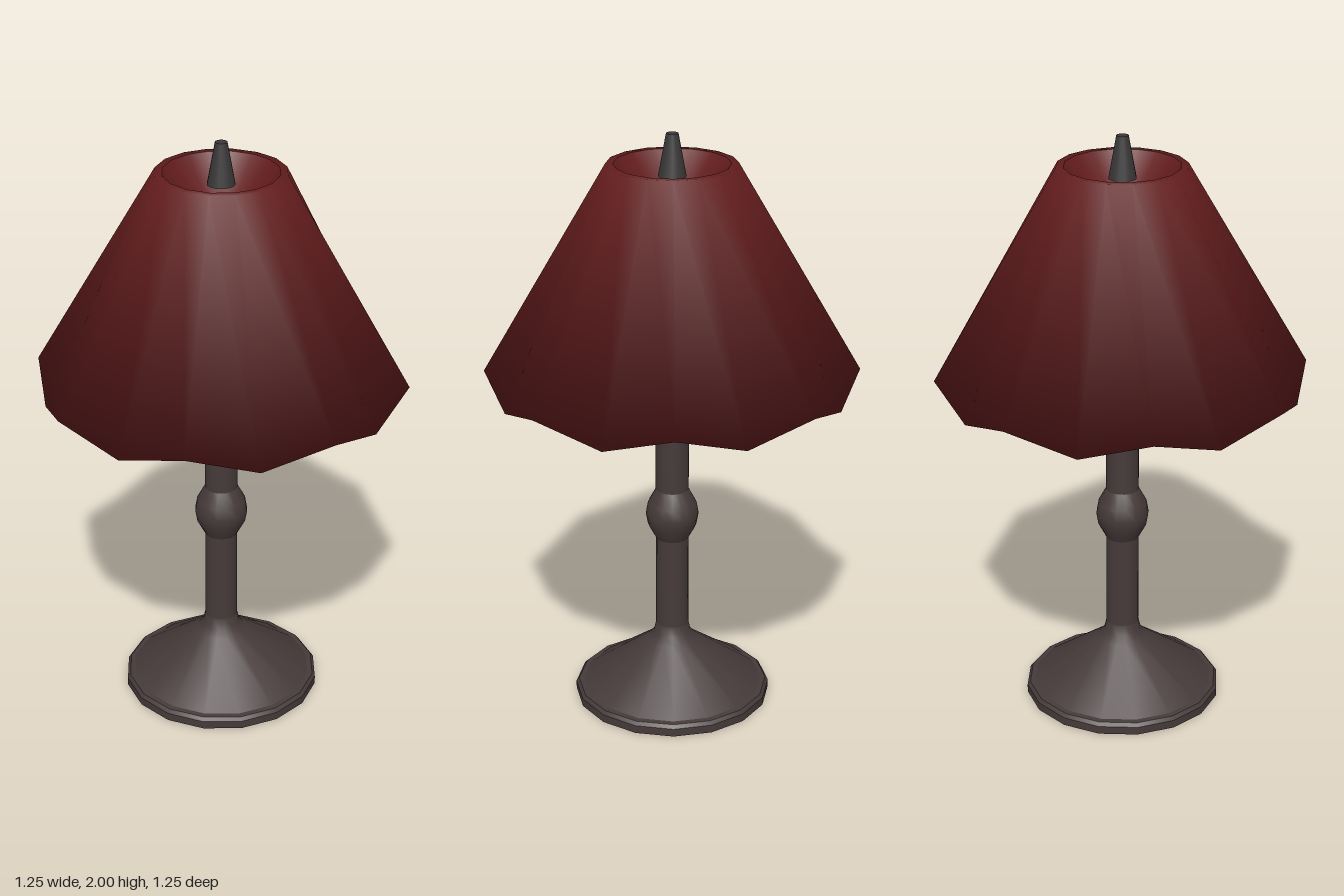
import * as THREE from 'three';

const SIDES = 16;

export function createModel() {
  const model = new THREE.Group();
  model.name = 'tableLamp';

  const material = (name, color) => {
    const m = new THREE.MeshStandardMaterial({ color });
    m.name = name;
    return m;
  };
  const red = material('shadeRed', 0x621c1d);
  const bronze = material('darkBronze', 0x463a3a);
  const iron = material('ironGrey', 0x393737);

  const add = (name, geometry, mat) => {
    const mesh = new THREE.Mesh(geometry, mat);
    mesh.name = name;
    model.add(mesh);
  };
  // Turned part: profile of [radius, height] points, smooth along its length
  const turned = (name, mat, points) =>
    add(name, new THREE.LatheGeometry(points.map(p => new THREE.Vector2(...p)), SIDES), mat);

  // Foot: separate bands keep the lip edges sharp
  turned('footUnderside', bronze, [[0, 0], [0.338, 0]]);
  turned('footRim', bronze, [[0.338, 0], [0.338, 0.028]]);
  turned('footBevel', bronze, [[0.338, 0.028], [0.328, 0.04]]);
  turned('footStep', bronze, [[0.328, 0.04], [0.31, 0.042]]);
  turned('footCone', bronze, [[0.31, 0.042], [0.085, 0.205], [0.064, 0.23], [0.056, 0.265]]);

  // Stem with a turned knob, widening into the lamp holder
  turned('lowerStem', bronze, [[0.056, 0.265], [0.056, 0.59]]);
  turned('knob', bronze, [
    [0.056, 0.59], [0.083, 0.64], [0.09, 0.68], [0.083, 0.72], [0.056, 0.77],
  ]);
  turned('upperStem', bronze, [[0.056, 0.77], [0.056, 1.12]]);
  turned('lampHolder', bronze, [
    [0.056, 1.12], [0.075, 1.2], [0.119, 1.39], [0.115, 1.44], [0.08, 1.58], [0.045, 1.72],
  ]);

  // Shade: scalloped outer and inner skins meeting in a rounded hem
  add('shade', shadeGeometry(), red);
  turned('shadeTopBowl', red, [[0.19, 1.902], [0.1, 1.8], [0, 1.76]]);

  // Finial
  turned('finialBase', iron, [[0, 1.86], [0.046, 1.86]]);
  turned('finial', iron, [[0.046, 1.86], [0.02, 2]]);
  turned('finialTip', iron, [[0.02, 2], [0, 2]]);

  return model;
}

function shadeGeometry() {
  const positions = [], normals = [], index = [];
  for (let i = 0; i <= SIDES; i++) {
    const a = (i / SIDES) * Math.PI * 2, s = Math.sin(a), c = Math.cos(a);
    const corner = i % 2 === 0;
    // Each rib: rim, top edge, hem, inner top as [radius, height, outward normal, upward normal]
    const rib = [
      [0.19, 1.902, 0.3, 0.95],
      [0.214, 1.902, 0.6, 0.8],
      corner ? [0.624, 1.2, 0.75, -0.66] : [0.587, 1.135, 0.56, -0.83],
      [0.045, 1.72, -0.67, -0.74],
    ];
    for (const [r, y, out, up] of rib) {
      positions.push(r * s, y, r * c);
      normals.push(out * s, up, out * c);
    }
    if (i === SIDES) break;
    for (let k = 0; k < 3; k++) {
      const t = i * 4 + k, n = t + 4;
      index.push(t, t + 1, n + 1, t, n + 1, n);
    }
  }
  const g = new THREE.BufferGeometry();
  g.setAttribute('position', new THREE.Float32BufferAttribute(positions, 3));
  g.setAttribute('normal', new THREE.Float32BufferAttribute(normals, 3));
  g.setIndex(index);
  return g;
}
